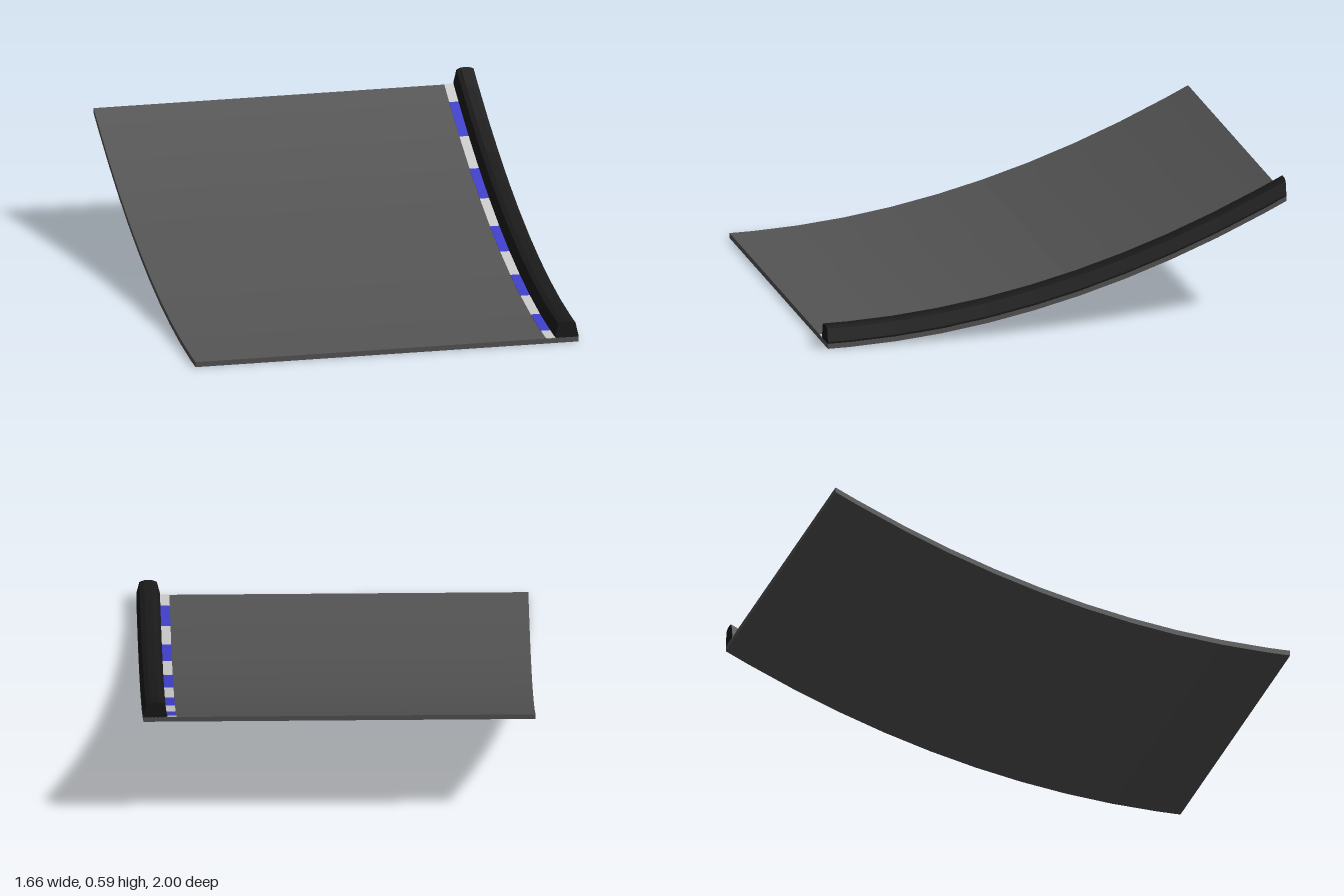
import * as THREE from 'three';

// Stations along the ramp: half a segment at each end, full 0.2 segments between
const COUNT = 11;
const station = (i) => Math.max(-1, Math.min(1, -1.1 + 0.2 * i));
const rise = (z) => 0.125 * (1 - z) ** 2;

// Sweep a cross-section (x, y) along the rising curve, from station i0 to i1
function sweep(name, points, color, i0 = 0, i1 = COUNT) {
  const shape = new THREE.Shape(points.map(([x, y]) => new THREE.Vector2(x, y)));
  const steps = i1 - i0;
  const geometry = new THREE.ExtrudeGeometry(shape, { depth: steps, steps, bevelEnabled: false });
  const pos = geometry.attributes.position;
  for (let v = 0; v < pos.count; v++) {
    const z = station(i0 + Math.round(pos.getZ(v)));
    pos.setY(v, pos.getY(v) + rise(z));
    pos.setZ(v, z);
  }
  geometry.computeVertexNormals();
  const mesh = new THREE.Mesh(geometry, new THREE.MeshStandardMaterial({ color, flatShading: true }));
  mesh.name = name;
  return mesh;
}

export function createModel() {
  const model = new THREE.Group();
  model.name = 'roadRamp';

  // Road slab, running under the kerb and barrier
  model.add(sweep('roadSlab', [[-0.828, 0], [0.828, 0], [0.828, 0.022], [-0.828, 0.022]], 0x555555));

  // Kerb: alternating pale and blue stripes
  const kerb = new THREE.Group();
  kerb.name = 'kerb';
  const kerbProfile = [[0.688, 0.02], [0.732, 0.02], [0.732, 0.024], [0.688, 0.024]];
  for (let i = 0; i < COUNT; i++) {
    kerb.add(sweep('kerbStripe', kerbProfile, i % 2 ? 0x4040cc : 0xcccccc, i, i + 1));
  }
  model.add(kerb);

  // Barrier with tapered shoulders and a rounded cap
  model.add(sweep('barrier', [
    [0.728, 0.021], [0.828, 0.021], [0.828, 0.03], [0.815, 0.085], [0.795, 0.093],
    [0.761, 0.093], [0.741, 0.085], [0.728, 0.03],
  ], 0x1a1a1a));

  return model;
}
